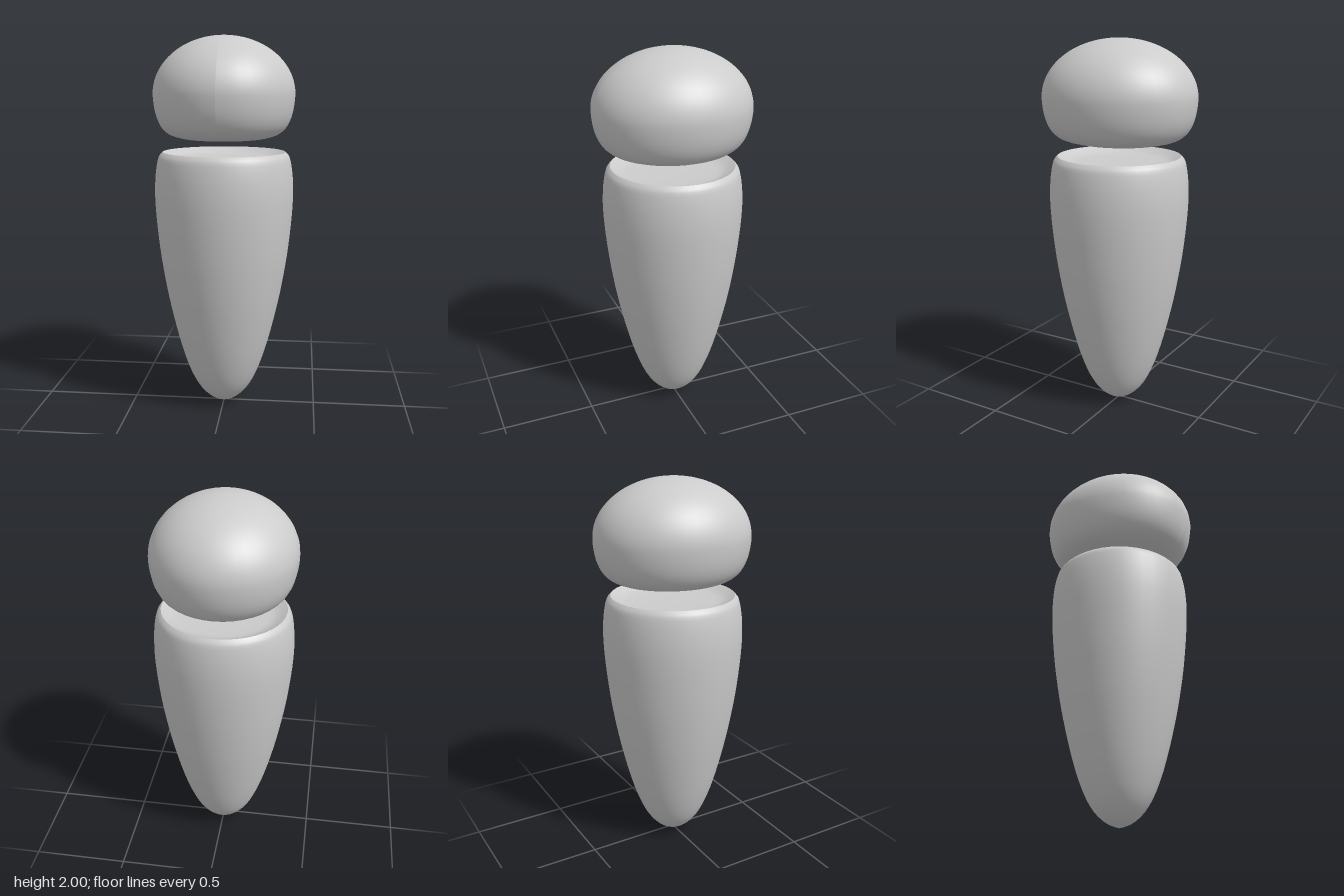
import * as THREE from 'three';

const SEGMENTS = 40;
const material = new THREE.MeshStandardMaterial({ color: 0xcccccc });

// Surface of revolution; the profile runs from the bottom up, then inwards
function lathe(name, profile) {
  const mesh = new THREE.Mesh(new THREE.LatheGeometry(profile, SEGMENTS), material);
  mesh.name = name;
  return mesh;
}

// Smooth profile through a few [radius, height] points
function smooth(points, divisions) {
  const curve = new THREE.SplineCurve(points.map(([r, y]) => new THREE.Vector2(r, y)));
  const profile = curve.getPoints(divisions);
  for (const p of profile) p.x = Math.max(p.x, 0);
  return profile;
}

export function createModel() {
  const model = new THREE.Group();
  model.name = 'figure';

  // Floating head: flat underside, rounded jaw, half-ellipse crown
  const headPoints = [
    [0, 1.466], [0.25, 1.466], [0.5, 1.468], [0.64, 1.476], [0.77, 1.492],
    [0.865, 1.52], [0.925, 1.557], [0.965, 1.6], [0.99, 1.65],
  ];
  const crownSteps = 14;
  for (let i = 0; i <= crownSteps; i++) {
    const a = (i / crownSteps) * Math.PI / 2;
    headPoints.push([Math.cos(a), 1.7 + 0.3 * Math.sin(a)]);
  }
  const head = lathe('head', smooth(headPoints, 46));
  // slightly deeper than wide
  head.geometry.scale(0.371, 1, 0.414);
  head.geometry.computeVertexNormals();
  model.add(head);

  // Tapered body with a blunt tip and softened shoulder
  const body = new THREE.Group();
  body.name = 'body';
  body.add(lathe('bodyShell', smooth([
    [0, 0.005], [0.055, 0.025], [0.105, 0.063], [0.146, 0.115], [0.182, 0.185],
    [0.219, 0.285], [0.252, 0.4], [0.279, 0.51], [0.303, 0.62], [0.323, 0.73],
    [0.34, 0.84], [0.353, 0.95], [0.363, 1.06], [0.368, 1.16], [0.367, 1.23],
    [0.362, 1.295], [0.352, 1.355], [0.342, 1.382], [0.325, 1.4],
  ], 36)));

  // Shallow dished top, kept apart so that the rim stays sharp
  body.add(lathe('bodyTop', smooth([
    [0.325, 1.4], [0.3, 1.387], [0.27, 1.374], [0.23, 1.366], [0.12, 1.361], [0, 1.36],
  ], 10)));
  model.add(body);

  return model;
}
